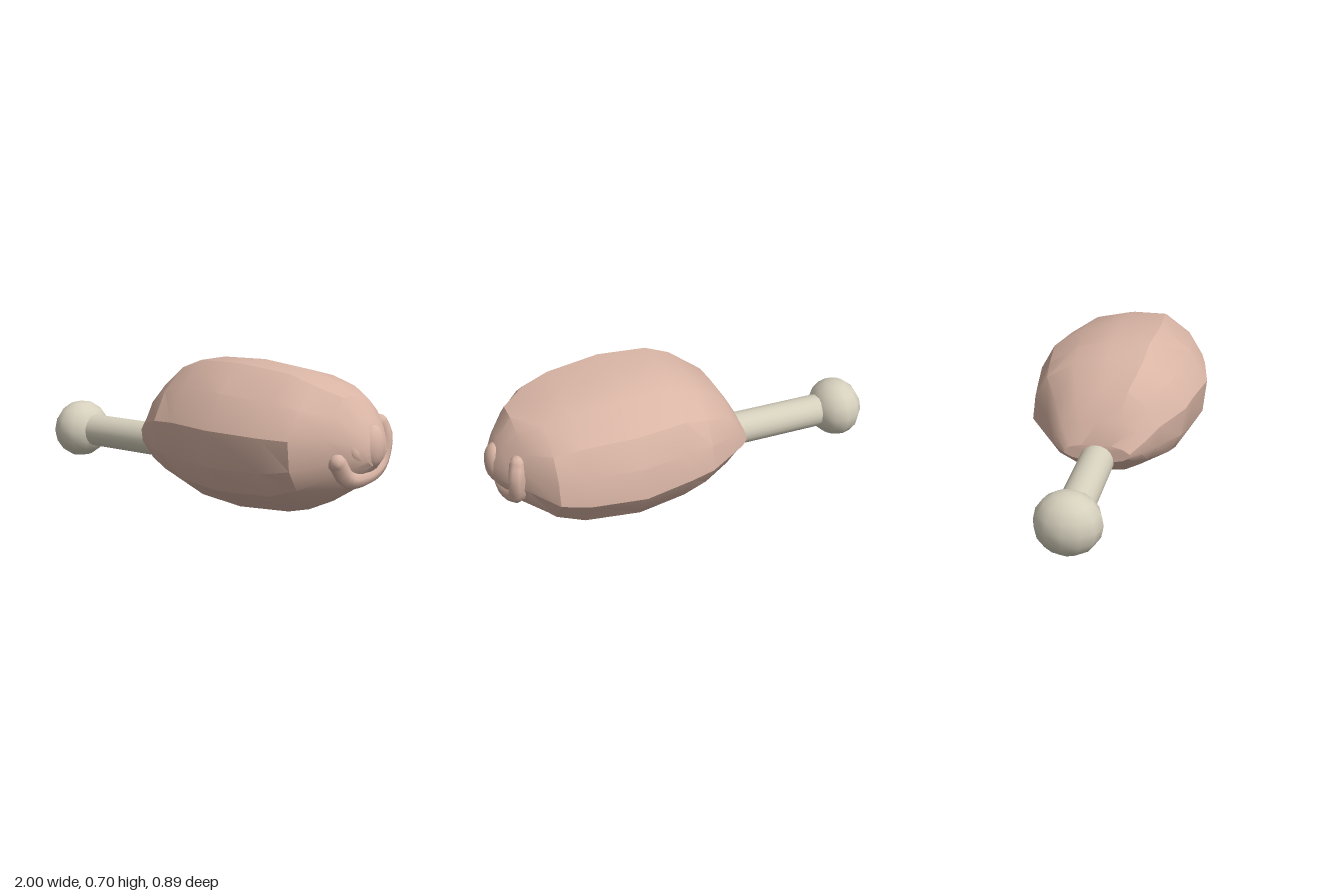
import * as THREE from 'three';
import { toCreasedNormals } from 'three/addons/utils/BufferGeometryUtils.js';

const flesh = new THREE.MeshStandardMaterial({ name: 'flesh', color: 0xd9b5a5 });
const bone = new THREE.MeshStandardMaterial({ name: 'bone', color: 0xd6d0bd });

// Irregular unit outline as [z, y], shared by every cross-section
const OUTLINE = [
  [0.45, 1], [0, 1], [-0.45, 0.87], [-0.8, 0.57], [-0.96, 0.2], [-1, -0.23], [-0.76, -0.65],
  [-0.38, -0.91], [0, -1], [0.42, -0.93], [0.8, -0.63], [0.96, -0.29], [1, 0.2], [0.8, 0.65],
];

// Cross-sections along the meat: [x, top, bottom, half width]
const SECTIONS = [
  [-0.28, 0.32, 0.23, 0.16], [-0.23, 0.43, 0.18, 0.22], [-0.15, 0.55, 0.12, 0.28],
  [0, 0.65, 0.07, 0.385], [0.12, 0.695, 0.02, 0.405], [0.36, 0.7, 0, 0.447],
  [0.62, 0.67, 0.015, 0.405], [0.75, 0.625, 0.075, 0.375], [0.86, 0.575, 0.145, 0.235],
  [0.93, 0.48, 0.22, 0.155], [0.97, 0.41, 0.27, 0.09],
];

function meatGeometry() {
  const n = OUTLINE.length;
  const pos = [];
  const idx = [];
  for (const [x, top, bottom, w] of SECTIONS) {
    const mid = (top + bottom) / 2;
    const h = (top - bottom) / 2;
    for (const [z, y] of OUTLINE) pos.push(x, mid + y * h, z * w);
  }
  const last = (SECTIONS.length - 1) * n;
  const startCap = pos.length / 3;
  pos.push(-0.28, 0.275, 0, 0.985, 0.34, 0);
  for (let i = 0; i < n; i++) {
    const j = (i + 1) % n;
    for (let r = 0; r < last; r += n) {
      idx.push(r + i, r + n + i, r + j, r + j, r + n + i, r + n + j);
    }
    idx.push(startCap, i, j, startCap + 1, last + j, last + i);
  }
  const g = new THREE.BufferGeometry();
  g.setAttribute('position', new THREE.Float32BufferAttribute(pos, 3));
  g.setIndex(idx);
  return toCreasedNormals(g, 0.45);
}

export function createModel() {
  const model = new THREE.Group();
  model.name = 'drumstick';

  const add = (name, geometry, material, x = 0, y = 0, z = 0) => {
    const mesh = new THREE.Mesh(geometry, material);
    mesh.name = name;
    mesh.position.set(x, y, z);
    model.add(mesh);
    return mesh;
  };

  // Soft fold following a path, with rounded ends
  const fold = (name, points, radius) => {
    const path = points.map((p) => new THREE.Vector3(...p));
    add(name, new THREE.TubeGeometry(new THREE.CatmullRomCurve3(path), 20, radius, 8), flesh);
    for (const p of [points[0], points[points.length - 1]]) {
      add(name + 'End', new THREE.SphereGeometry(radius, 8, 6), flesh, ...p);
    }
  };

  // Meat
  add('meat', meatGeometry(), flesh);

  // Puckered folds at the tip
  fold('lowerFold', [
    [0.885, 0.3, 0.19], [0.895, 0.22, 0.12], [0.915, 0.215, 0],
    [0.895, 0.26, -0.16], [0.895, 0.37, -0.19], [0.88, 0.43, -0.17],
  ], 0.042);
  fold('sideFold', [[0.89, 0.42, 0.13], [0.92, 0.34, 0.12], [0.93, 0.3, 0.07]], 0.032);
  add('tipBulge', new THREE.SphereGeometry(1, 14, 10), flesh, 0.945, 0.355, 0).scale.set(0.055, 0.1, 0.075);

  // Bone
  add('boneShaft', new THREE.CylinderGeometry(0.083, 0.083, 0.65, 20), bone, -0.475, 0.235, 0)
    .rotation.z = Math.PI / 2;
  add('boneKnob', new THREE.SphereGeometry(1, 12, 8), bone, -0.867, 0.235, 0).scale.set(0.133, 0.15, 0.157);

  return model;
}
